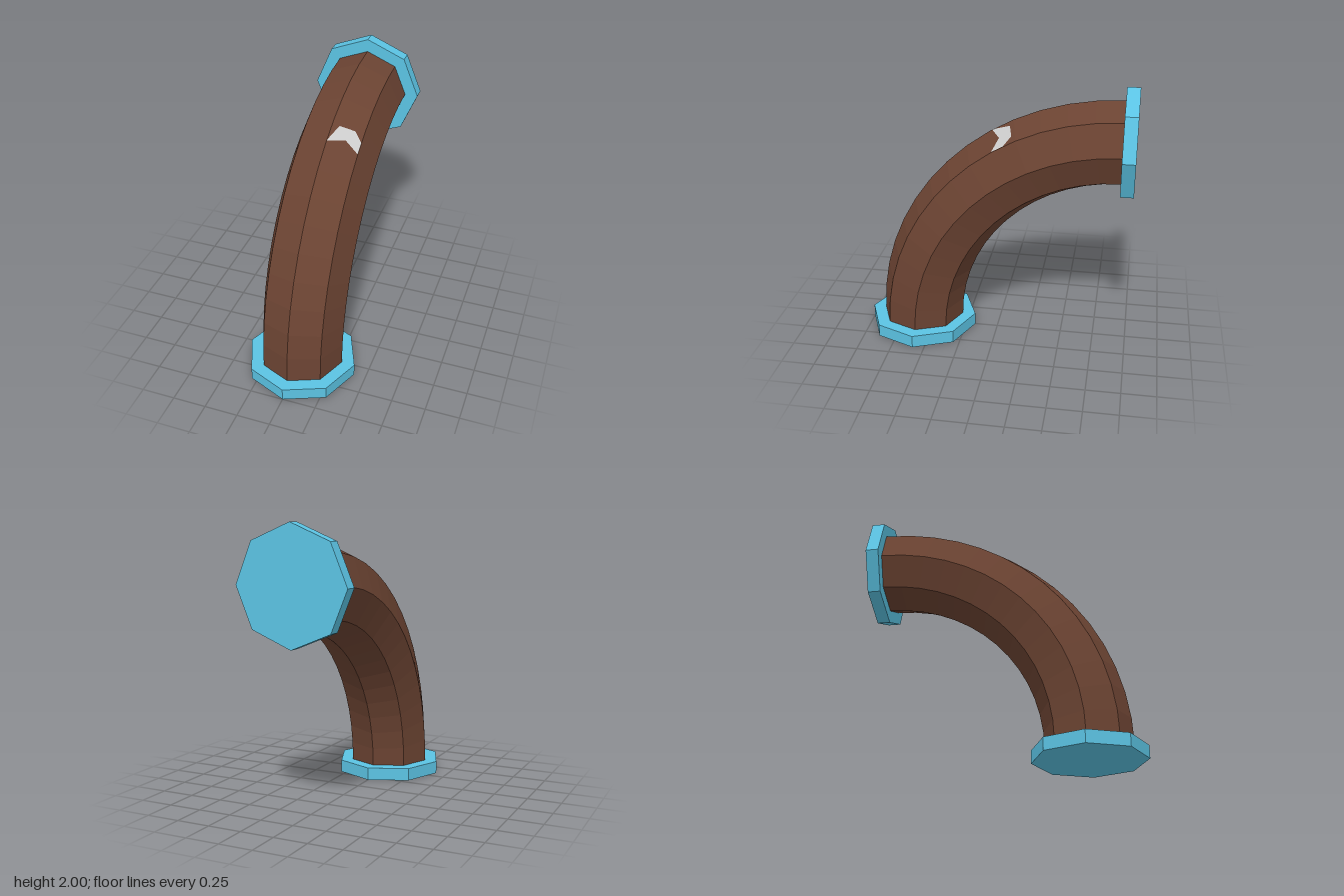
import * as THREE from 'three';

const SIDES = 8, STEPS = 14;
const BEND = 1.493, TUBE = 0.314, FLANGE_R = 0.412, FLANGE_H = 0.095;
const CY = FLANGE_H, CZ = -1 + FLANGE_H; // centre of the quarter bend

const paint = (color) => new THREE.MeshStandardMaterial({ color, flatShading: true });

export function createModel() {
  const model = new THREE.Group();
  model.name = 'pipeElbow';
  const add = (name, geometry, material, x, y, z) => {
    const mesh = new THREE.Mesh(geometry, material);
    mesh.name = name;
    mesh.position.set(x, y, z);
    model.add(mesh);
    return mesh;
  };

  // Eight-sided quarter bend, rising from the floor and turning to the back
  const bend = new THREE.TorusGeometry(BEND, TUBE, SIDES, STEPS, Math.PI / 2);
  bend.rotateY(-Math.PI / 2);
  add('pipeBend', bend, paint(0x6b4332), 0, CY, CZ);

  // Closed end flanges
  const blue = paint(0x5bc3e3);
  const flange = new THREE.CylinderGeometry(FLANGE_R, FLANGE_R, FLANGE_H, SIDES);
  add('bottomFlange', flange, blue, 0, FLANGE_H / 2, CZ + BEND);
  add('backFlange', flange, blue, 0, CY + BEND, CZ - FLANGE_H / 2).rotation.x = Math.PI / 2;

  // Small pale chevron on one facet: [x, degrees along the bend]
  const outline = [[0, 58.6], [0.05, 63.2], [0.16, 63.4], [0.222, 61], [0.222, 57.9], [0.12, 60.2]];
  const step = 90 / STEPS, mid = 9.5 * step;
  const rad = THREE.MathUtils.degToRad;
  const slope = Math.tan(Math.PI / SIDES);
  const mark = new THREE.ShapeGeometry(new THREE.Shape(outline.map(([x, a]) => new THREE.Vector2(x, a))));
  const p = mark.attributes.position;
  for (let i = 0; i < p.count; i++) {
    const x = p.getX(i), a = p.getY(i);
    const r = (BEND + TUBE - x * slope) * Math.cos(rad(step / 2)) / Math.cos(rad(a - mid)) + 0.003;
    p.setXYZ(i, x, r * Math.sin(rad(a)), r * Math.cos(rad(a)));
  }
  mark.computeVertexNormals();
  const pale = paint(0xcccccc);
  pale.side = THREE.DoubleSide;
  add('highlightMark', mark, pale, 0, CY, CZ);

  return model;
}
